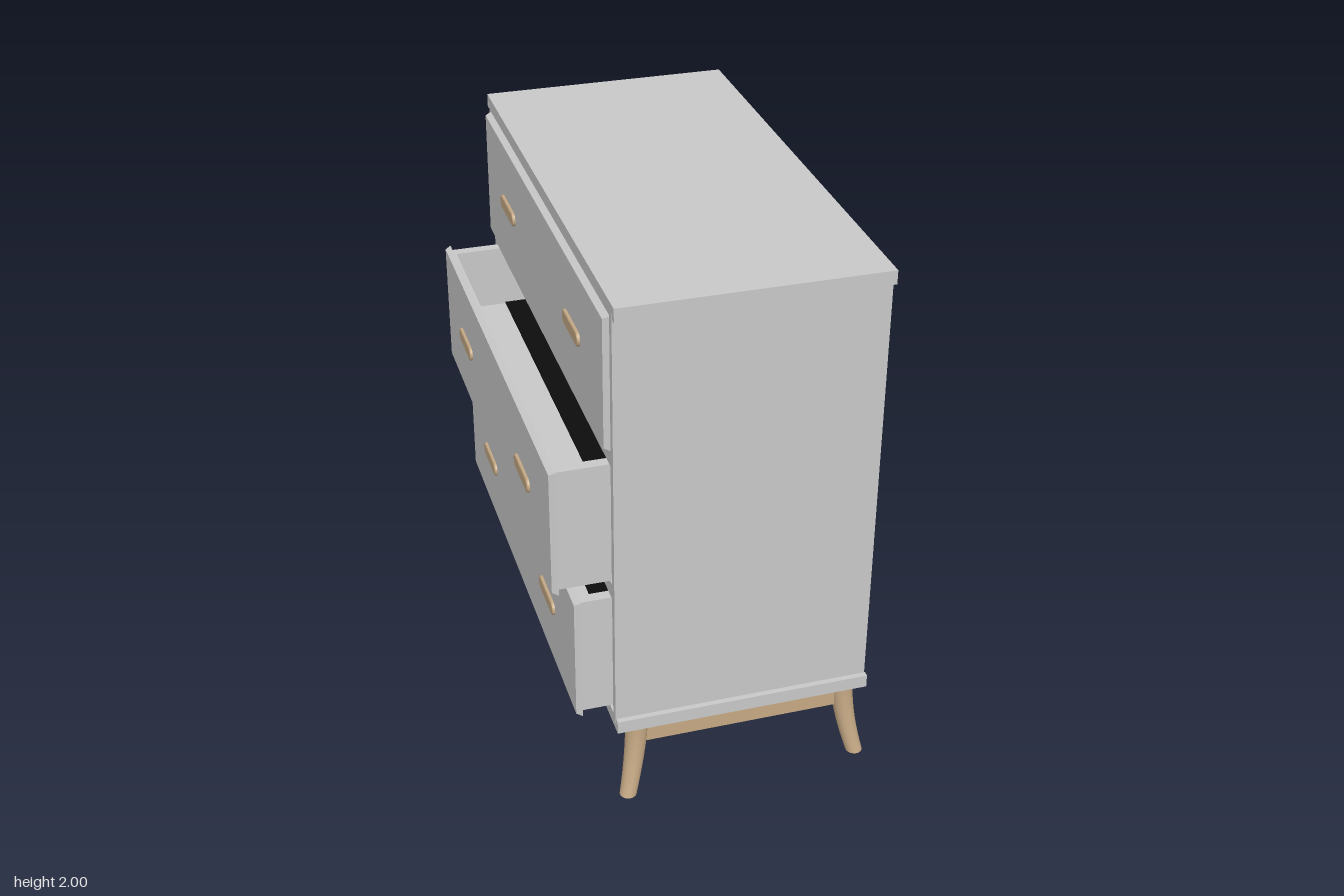
import * as THREE from 'three';

const grey = new THREE.MeshStandardMaterial({ color: 0xc8c8c8 });
grey.name = 'pale grey paint';
const wood = new THREE.MeshStandardMaterial({ color: 0xc4a884 });
wood.name = 'light wood';
const dark = new THREE.MeshStandardMaterial({ color: 0x0c0c0c });
dark.name = 'dark liner';

const X0 = -0.365, X1 = 0.567; // drawer side and back of the cabinet
const ZC = -0.005;             // middle of the drawers

// Box given by its lower and upper bounds
function box(parent, name, mat, x0, x1, y0, y1, z0, z1) {
  const m = new THREE.Mesh(new THREE.BoxGeometry(x1 - x0, y1 - y0, z1 - z0), mat);
  m.position.set((x0 + x1) / 2, (y0 + y1) / 2, (z0 + z1) / 2);
  m.name = name;
  parent.add(m);
  return m;
}

// Drawer front whose outer face is slightly smaller than its inner face
function drawerFront(x, y0, y1) {
  const h = (y1 - y0) / 2, w = 0.863, t = 0.022, bevel = 0.009;
  const g = new THREE.BoxGeometry(t, 2 * h, 2 * w).toNonIndexed();
  const p = g.attributes.position;
  for (let i = 0; i < p.count; i++) {
    if (p.getX(i) < 0) {
      p.setY(i, p.getY(i) * (h - bevel) / h);
      p.setZ(i, p.getZ(i) * (w - bevel) / w);
    }
  }
  g.computeVertexNormals();
  const m = new THREE.Mesh(g, grey);
  m.position.set(x - t / 2, (y0 + y1) / 2, ZC);
  m.name = 'drawerFront';
  return m;
}

// Pill-shaped pull with a softened outer edge
function handle(x, y, z) {
  const r = 0.021, l = 0.105 - 0.027;
  const s = new THREE.Shape();
  s.absarc(l, 0, r, -Math.PI / 2, Math.PI / 2, false);
  s.absarc(-l, 0, r, Math.PI / 2, Math.PI * 1.5, false);
  s.closePath();
  const g = new THREE.ExtrudeGeometry(s, {
    depth: 0.01, bevelThickness: 0.006, bevelSize: 0.006, bevelSegments: 2, curveSegments: 10,
  });
  g.rotateY(-Math.PI / 2);
  const m = new THREE.Mesh(g, wood);
  m.position.set(x + 0.005, y, z);
  m.name = 'handle';
  return m;
}

// Drawer box, open at the top, with its front and two pulls
function drawer(name, x, y0, y1) {
  const g = new THREE.Group();
  g.name = name;
  const b = y0 + 0.01, t = y1 - 0.01, w = 0.843, wall = 0.04;
  const end = Math.min(x + 0.85, X1 - 0.04);
  const floor = b + 0.22;
  g.add(drawerFront(x, y0, y1));
  box(g, 'drawerInnerFront', grey, x, x + 0.012, b, t, ZC - w, ZC + w);
  for (const s of [-1, 1]) {
    const zo = ZC + s * w, zi = ZC + s * (w - wall);
    box(g, 'drawerSide', grey, x, end, b, t, Math.min(zo, zi), Math.max(zo, zi));
    g.add(handle(x - 0.022, (y0 + y1) / 2 + 0.005, -0.013 + s * 0.475));
  }
  box(g, 'drawerBack', grey, end - wall, end, b, t, ZC - w + wall, ZC + w - wall);
  box(g, 'drawerFloor', grey, x, end - wall, b, floor, ZC - w + wall, ZC + w - wall);
  box(g, 'drawerLiner', dark, X0 + 0.015, end - wall, floor, floor + 0.006,
    ZC - w + wall, ZC + w - wall);
  return g;
}

// Round tapered leg that curves outwards to the foot
function leg(sx, sz) {
  const H = 0.32;
  const g = new THREE.CylinderGeometry(0.043, 0.031, H, 20, 10);
  const p = g.attributes.position;
  for (let i = 0; i < p.count; i++) {
    const k = Math.pow(0.5 - p.getY(i) / H, 1.8);
    p.setX(i, p.getX(i) + sx * 0.047 * k);
    p.setZ(i, p.getZ(i) + sz * 0.048 * k);
  }
  g.computeVertexNormals();
  const m = new THREE.Mesh(g, wood);
  m.position.set(0.117 + sx * 0.388, H / 2, sz * 0.826);
  m.name = 'leg';
  return m;
}

export function createModel() {
  const model = new THREE.Group();
  model.name = 'chestOfDrawers';

  // Cabinet shell
  const cabinet = new THREE.Group();
  cabinet.name = 'cabinet';
  const W = 0.913, S = 0.885;
  box(cabinet, 'top', grey, X0, X1, 1.973, 2, -W, W);
  box(cabinet, 'topInner', grey, X0, X1, 1.95, 1.973, -S, S);
  box(cabinet, 'bottom', grey, X0, X1, 0.32, 0.347, -W, W);
  box(cabinet, 'bottomInner', grey, X0, X1, 0.347, 0.37, -S, S);
  box(cabinet, 'back', grey, X1 - 0.03, X1, 0.37, 1.95, -S, S);
  for (const s of [-1, 1]) {
    const span = (a, b) => [Math.min(s * a, s * b), Math.max(s * a, s * b)];
    box(cabinet, 'side', grey, X0, X1 - 0.03, 0.37, 1.95, ...span(S - 0.03, S));
    // Lips standing off the side panels
    box(cabinet, 'topLip', grey, X0, X1, 1.95, 1.973, ...span(W - 0.02, W));
    box(cabinet, 'bottomLip', grey, X0, X1, 0.347, 0.37, ...span(W - 0.02, W));
  }
  // Rails between the drawers
  for (const y of [0.895, 1.425]) {
    box(cabinet, 'rail', grey, X0, X1 - 0.03, y - 0.03, y + 0.03, -S + 0.03, S - 0.03);
  }
  model.add(cabinet);

  // Drawers pulled out by different amounts
  model.add(drawer('topDrawer', -0.364, 1.455, 1.945));
  model.add(drawer('middleDrawer', -0.549, 0.918, 1.403));
  model.add(drawer('bottomDrawer', -0.475, 0.381, 0.868));

  // Wooden base
  const base = new THREE.Group();
  base.name = 'base';
  for (const s of [-1, 1]) {
    for (const t of [-1, 1]) base.add(leg(s, t));
    const x = 0.117 + s * 0.388, z = s * 0.826;
    box(base, 'longApron', wood, x - 0.02, x + 0.02, 0.205, 0.32, -0.826, 0.826);
    box(base, 'shortApron', wood, -0.271, 0.505, 0.205, 0.32, z - 0.02, z + 0.02);
  }
  model.add(base);

  return model;
}
